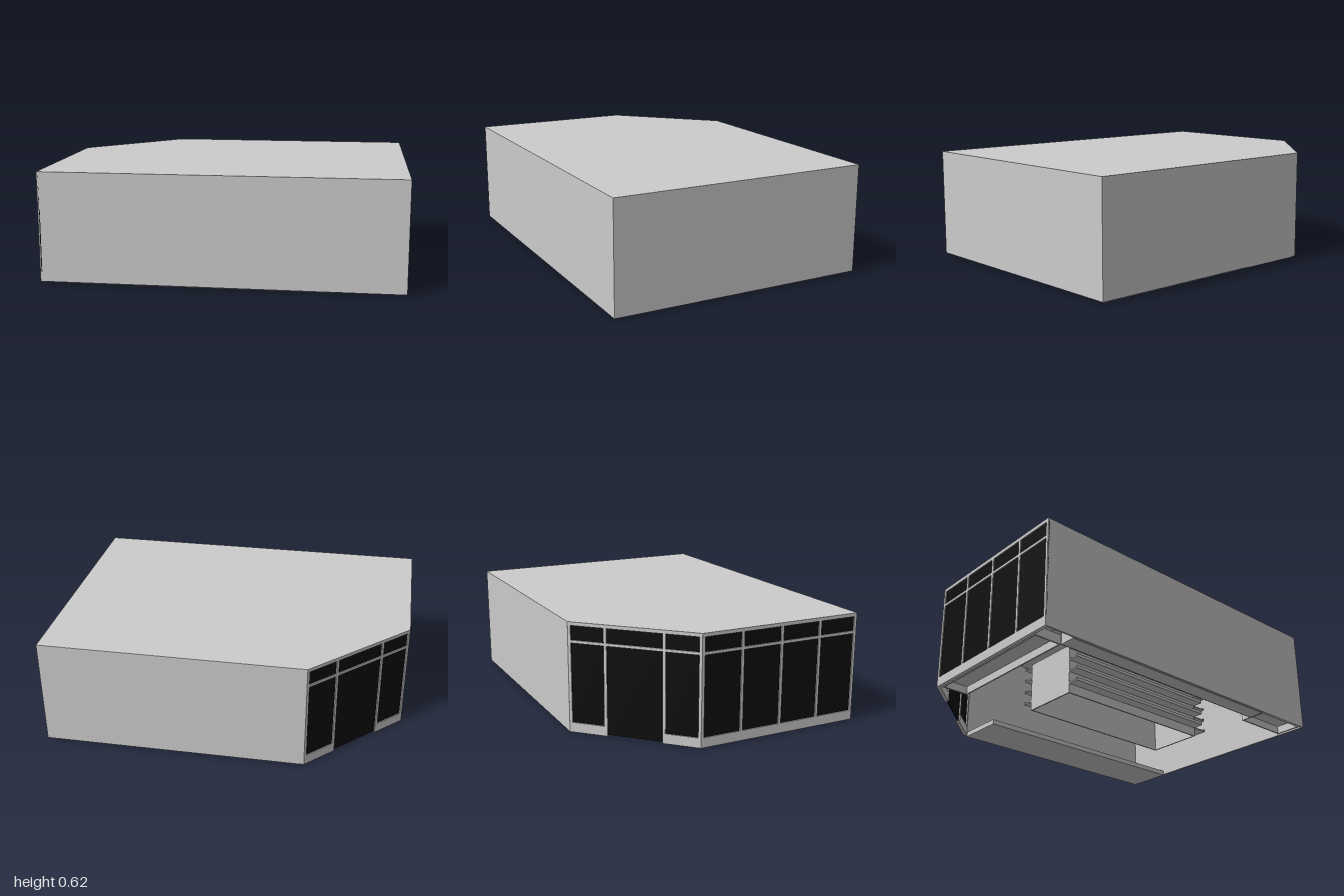
import * as THREE from 'three';

const grey = new THREE.MeshStandardMaterial({ color: 0xcccccc, side: THREE.DoubleSide });
const dark = new THREE.MeshStandardMaterial({ color: 0x0d0d0d, side: THREE.DoubleSide });
const GROUND = 0.005;

// Box given by its minimum and maximum on each axis
function box(parent, name, [x0, x1], [y0, y1], [z0, z1], material = grey) {
  const mesh = new THREE.Mesh(new THREE.BoxGeometry(x1 - x0, y1 - y0, z1 - z0), material);
  mesh.position.set((x0 + x1) / 2, (y0 + y1) / 2, (z0 + z1) / 2);
  mesh.name = name;
  parent.add(mesh);
}

function subgroup(parent, name, x, z, angle) {
  const g = new THREE.Group();
  g.name = name;
  g.position.set(x, 0, z);
  g.rotation.y = angle;
  parent.add(g);
  return g;
}

// Glazed wall: local x runs along the wall, local +z points outside.
// The panels lie between the stops; a panel in doors reaches the ground.
function glazedWall(parent, name, x, z, angle, length, stops, doors = []) {
  const g = subgroup(parent, name, x, z, angle);
  const at = (t) => (t - 0.5) * length;
  box(g, 'topRail', [at(0), at(1)], [0.6, 0.62], [-0.02, 0]);
  box(g, 'transom', [at(0), at(1)], [0.505, 0.52], [-0.02, 0]);
  stops.forEach((t) => {
    const c = THREE.MathUtils.clamp(at(t), at(0) + 0.008, at(1) - 0.008);
    box(g, 'mullion', [c - 0.008, c + 0.008], [GROUND, 0.62], [-0.02, 0]);
  });
  for (let i = 0; i < stops.length - 1; i++) {
    const span = [at(stops[i]), at(stops[i + 1])];
    const isDoor = doors.includes(i);
    if (!isDoor) box(g, 'sill', span, [GROUND, 0.06], [-0.02, 0]);
    box(g, isDoor ? 'doorGlass' : 'glass', span, [isDoor ? 0.012 : 0.06, 0.61], [-0.012, -0.006], dark);
  }
}

// Shelves reaching from local z = 0 to +z
function shelves(parent, width, depth, low, high, count) {
  const w = width / 2;
  for (let i = 0; i < count; i++) {
    const y = low + (i * (high - low)) / (count - 1);
    box(parent, 'shelf', [-w, w], [y, y + 0.008], [0, depth]);
    box(parent, 'shelfLip', [-w, w], [y, y + 0.018], [depth - 0.005, depth]);
  }
}

// Wall rack: back panel, open plinth and shelves
function rack(parent, name, x, z, angle, width, depth, height, count) {
  const g = subgroup(parent, name, x, z, angle);
  const w = width / 2;
  box(g, 'backPanel', [-w, w], [GROUND, height], [0, 0.008]);
  box(g, 'kickPlate', [-w, w], [GROUND, 0.05], [depth - 0.008, depth]);
  for (const s of [-1, 1]) {
    const e = s * (w - 0.004);
    box(g, 'plinthEnd', [e - 0.004, e + 0.004], [GROUND, 0.05], [0, depth]);
  }
  shelves(g, width, depth, 0.05, height - 0.02, count);
}

export function createModel() {
  const model = new THREE.Group();
  model.name = 'shop';

  // Roof slab with one cut corner
  const outline = [[-1, 0.74], [1, 0.74], [1, -0.74], [-0.48, -0.74], [-1, -0.22]];
  const shape = new THREE.Shape(outline.map(([x, z]) => new THREE.Vector2(x, -z)));
  const roof = new THREE.Mesh(new THREE.ExtrudeGeometry(shape, { depth: 0.01, bevelEnabled: false }), grey);
  roof.rotation.x = -Math.PI / 2;
  roof.position.y = 0.61;
  roof.name = 'roof';
  model.add(roof);

  // Solid walls
  box(model, 'frontWall', [-1, 1], [GROUND, 0.615], [0.73, 0.74]);
  box(model, 'backWall', [-0.48, 1], [GROUND, 0.615], [-0.74, -0.73]);
  box(model, 'leftWall', [0.99, 1], [GROUND, 0.615], [-0.74, 0.74]);

  // Glazed side and glazed corner with the entrance
  glazedWall(model, 'windowWall', -1, 0.26, -Math.PI / 2, 0.96, [0, 0.25, 0.5, 0.75, 1]);
  glazedWall(model, 'entranceWall', -0.74, -0.48, -Math.PI * 0.75, 0.735, [0, 0.285, 0.725, 1], [1]);

  // Long storage block along the back wall
  box(model, 'backCounter', [-0.46, 0.99], [0, 0.03], [-0.735, -0.45]);

  // Row of cooler cabinets with doors and handles
  const coolers = subgroup(model, 'coolers', 0, 0, 0);
  box(coolers, 'coolerBody', [-0.82, 0.62], [0, 0.46], [0.64, 0.73]);
  const pitch = 1.44 / 7;
  for (let i = 0; i < 7; i++) {
    const x = -0.82 + i * pitch;
    box(coolers, 'coolerDoor', [x + 0.004, x + pitch - 0.004], [0.005, 0.45], [0.63, 0.64]);
    box(coolers, 'doorHandle', [x + 0.012, x + 0.022], [0.1, 0.3], [0.612, 0.622]);
  }

  // Shelf racks along the walls
  rack(model, 'windowRack', -0.975, 0.215, Math.PI / 2, 0.83, 0.16, 0.36, 6);
  rack(model, 'cornerRack', 0.8, 0.73, Math.PI, 0.34, 0.16, 0.34, 5);

  // Island: hollow core, open below, with shelves on both long sides and one end
  const island = subgroup(model, 'island', 0.1, 0.03, 0);
  for (const s of [-1, 1]) {
    box(island, 'coreSide', [-0.51, 0.51], [GROUND, 0.3], [s * 0.17 - 0.004, s * 0.17 + 0.004]);
    box(island, 'coreEnd', [s * 0.506 - 0.004, s * 0.506 + 0.004], [GROUND, 0.3], [-0.17, 0.17]);
    const side = subgroup(island, 'sideShelves', 0, s * 0.17, s > 0 ? 0 : Math.PI);
    shelves(side, 1.02, 0.07, 0.06, 0.28, 4);
  }
  box(island, 'coreTop', [-0.51, 0.51], [0.292, 0.3], [-0.17, 0.17]);
  const end = subgroup(island, 'endShelves', 0.51, 0, Math.PI / 2);
  shelves(end, 0.34, 0.1, 0.06, 0.28, 4);

  return model;
}
